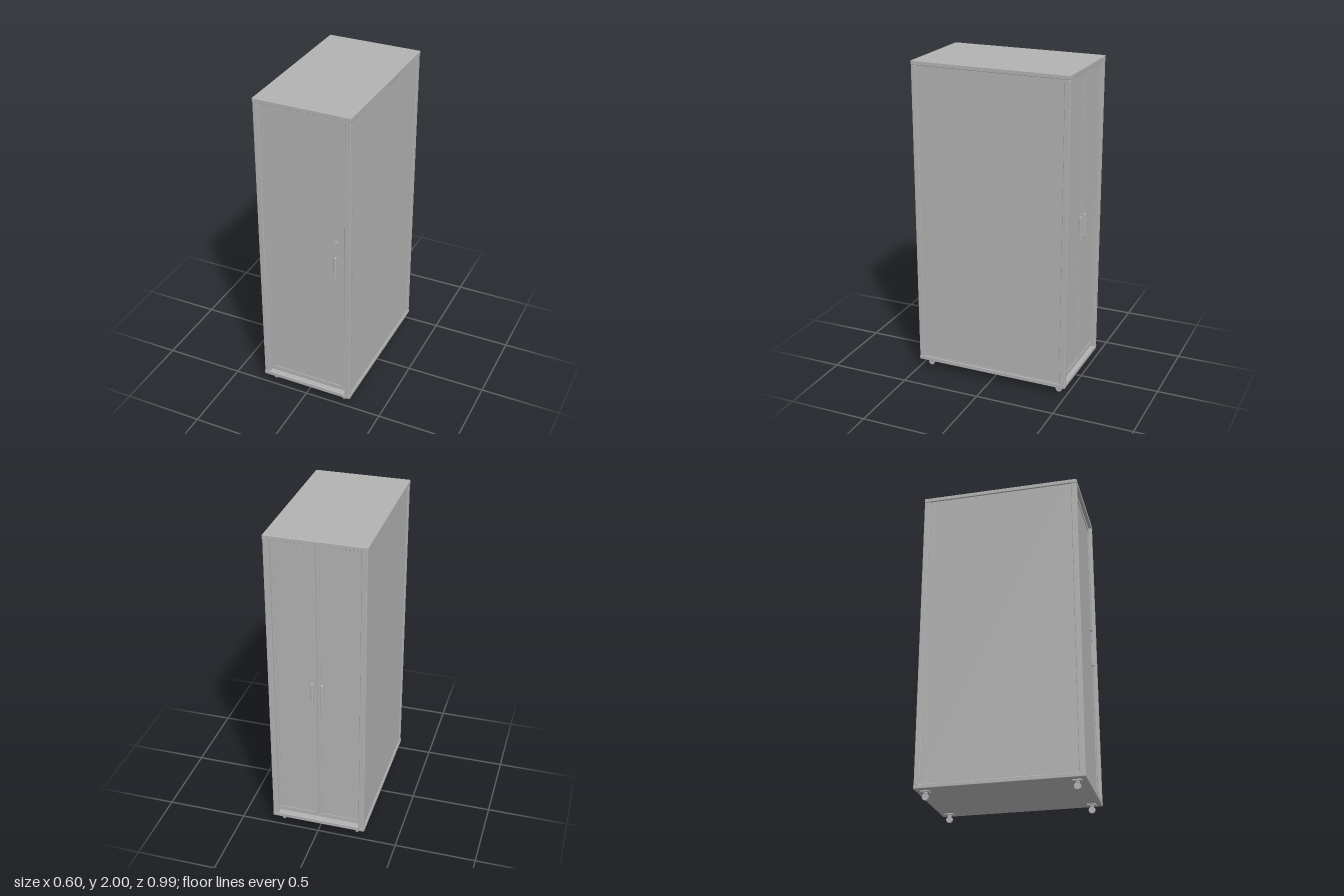
import * as THREE from 'three';
import { RoundedBoxGeometry } from 'three/addons/geometries/RoundedBoxGeometry.js';

export function createModel() {
  const model = new THREE.Group();
  model.name = 'cabinet';
  const grey = new THREE.MeshStandardMaterial({ color: 0xb2b2b2 });
  grey.name = 'grey paint';

  const add = (parent, name, geometry, x, y, z) => {
    const mesh = new THREE.Mesh(geometry, grey);
    mesh.name = name;
    mesh.position.set(x, y, z);
    parent.add(mesh);
    return mesh;
  };
  const box = (parent, name, w, h, d, x, y, z) =>
    add(parent, name, new THREE.BoxGeometry(w, h, d), x, y, z);
  const rounded = (parent, name, w, h, d, x, y, z, r = 0.004) =>
    add(parent, name, new RoundedBoxGeometry(w, h, d, 2, r), x, y, z);

  // Top and base slabs
  rounded(model, 'topPanel', 0.596, 0.027, 0.994, 0, 1.9865, 0);
  rounded(model, 'basePanel', 0.596, 0.027, 0.994, 0, 0.0685, 0);

  for (const sx of [-1, 1]) {
    // Side wall, set slightly in from the posts
    box(model, 'sidePanel', 0.012, 1.893, 0.93, sx * 0.284, 1.0275, 0);
    box(model, 'sideSill', 0.014, 0.008, 0.926, sx * 0.286, 0.085, 0);
    for (const sz of [-1, 1]) {
      // Corner post with an inner return behind the door
      rounded(model, 'cornerPost', 0.035, 1.895, 0.036, sx * 0.2785, 1.0275, sz * 0.478);
      box(model, 'postReturn', 0.02, 1.893, 0.012, sx * 0.255, 1.0275, sz * 0.45);

      // Caster: mounting plate, fork and wheel
      const caster = new THREE.Group();
      caster.name = 'caster';
      caster.position.set(sx * 0.24, 0, sz * 0.44);
      box(caster, 'casterPlate', 0.044, 0.008, 0.05, 0, 0.051, 0);
      add(caster, 'casterSwivel', new THREE.CylinderGeometry(0.013, 0.013, 0.01, 20), 0, 0.043, 0);
      add(caster, 'casterWheel', new THREE.CylinderGeometry(0.02, 0.02, 0.012, 24), 0, 0.02, 0)
        .rotation.z = Math.PI / 2;
      model.add(caster);
    }
  }

  // Door facing +z: a raised rim around a slightly recessed sheet
  const bottom = 0.098, top = 1.963, mid = (bottom + top) / 2, height = top - bottom;
  function addDoor(parent, name, x0, x1, rim, handleX) {
    const door = new THREE.Group();
    door.name = name;
    const w = x1 - x0, cx = (x0 + x1) / 2;
    box(door, 'doorSheet', w - 0.004, height - 0.004, 0.012, cx, mid, 0.467);
    for (const s of [-1, 1]) {
      box(door, 'doorStile', rim, height, 0.02, cx + s * (w - rim) / 2, mid, 0.468);
      box(door, 'doorRail', w - 2 * rim, 0.028, 0.02, cx, mid + s * (height - 0.028) / 2, 0.468);
    }
    rounded(door, 'handle', 0.015, 0.155, 0.02, handleX, 1.007, 0.482, 0.005);
    parent.add(door);
    return door;
  }

  // Single front door with a round lock above its handle
  const front = addDoor(model, 'frontDoor', -0.261, 0.257, 0.027, 0.197);
  add(front, 'lock', new THREE.CylinderGeometry(0.01, 0.01, 0.012, 24), 0.197, 1.183, 0.478)
    .rotation.x = Math.PI / 2;

  // Pair of back doors meeting in the middle
  const back = new THREE.Group();
  back.name = 'backDoors';
  back.rotation.y = Math.PI;
  addDoor(back, 'backDoorRight', -0.26, -0.003, 0.016, -0.03);
  addDoor(back, 'backDoorLeft', 0.003, 0.26, 0.016, 0.03);
  model.add(back);

  return model;
}
